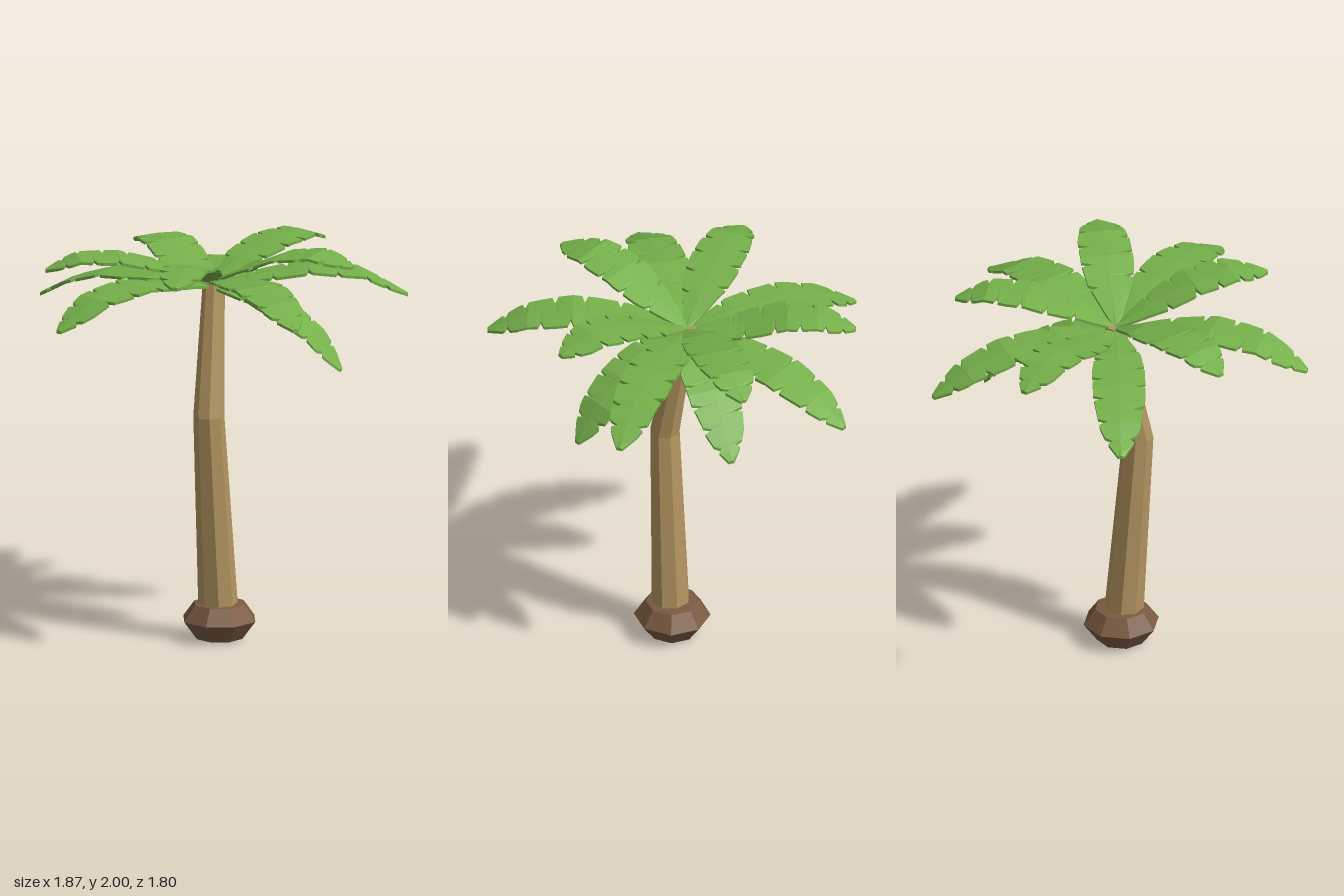
import * as THREE from 'three';

const mat = (color) => new THREE.MeshStandardMaterial({ color, flatShading: true });

// Piecewise-linear lookup in a list of [t, value]
function lerpTable(table, t) {
  for (let i = 1; i < table.length; i++) {
    const [t0, v0] = table[i - 1], [t1, v1] = table[i];
    if (t <= t1) return v0 + (v1 - v0) * (t - t0) / (t1 - t0);
  }
  return table[table.length - 1][1];
}

// Skin a list of closed rings (counterclockwise about the travel direction) and cap both ends
function loft(rings) {
  const n = rings[0].length, index = [];
  for (let i = 0; i < rings.length - 1; i++) {
    for (let j = 0; j < n; j++) {
      const a = i * n + j, b = i * n + (j + 1) % n;
      index.push(a, b, b + n, a, b + n, a + n);
    }
  }
  const last = (rings.length - 1) * n;
  for (let j = 1; j < n - 1; j++) {
    index.push(0, j + 1, j, last, last + j, last + j + 1);
  }
  const geo = new THREE.BufferGeometry();
  geo.setAttribute('position', new THREE.Float32BufferAttribute(rings.flat(2), 3));
  geo.setIndex(index);
  geo.computeVertexNormals();
  return geo;
}

// Half width of a frond along its length
const PROFILE = [[0, 0.015], [0.12, 0.055], [0.3, 0.112], [0.45, 0.13], [0.66, 0.128],
  [0.85, 0.1], [0.93, 0.065], [1, 0.015]];
const NOTCHES = { 1: [0.25, 0.42, 0.58, 0.73, 0.9], '-1': [0.33, 0.51, 0.66, 0.81, 0.91] };
const NOTCH_HALF = 0.016, NOTCH_DEPTH = 0.42, THICK = 0.014;

// Torn-edged frond running along +z; curve lists [distance, height]
function frondGeometry(curve, seed) {
  const length = curve[curve.length - 1][0];
  const shift = 0.025 * Math.sin(seed * 2.4);
  const cuts = (side) => NOTCHES[side].map((t) => t + shift);
  const width = (side, t) => {
    let w = lerpTable(PROFILE, t);
    for (const c of cuts(side)) w *= 1 - NOTCH_DEPTH * Math.max(0, 1 - Math.abs(t - c) / NOTCH_HALF);
    return w;
  };
  const marks = [...PROFILE.map((p) => p[0]), ...curve.map((p) => p[0] / length)];
  for (const side of [1, -1]) {
    for (const c of cuts(side)) marks.push(c - NOTCH_HALF, c, c + NOTCH_HALF);
  }
  const stations = [...new Set(marks.map((t) => +t.toFixed(4)))].sort((a, b) => a - b);
  return loft(stations.map((t) => {
    const z = t * length, y = lerpTable(curve, z);
    const r = width(1, t), l = -width(-1, t);
    return [[r, y - THICK, z], [r, y, z], [0, y + 0.005, z], [l, y, z], [l, y - THICK, z]];
  }));
}

// Frond arcs as [fraction of reach, height]
const ARCS = {
  front: [[0, 1.79], [0.25, 1.85], [0.57, 1.887], [0.8, 1.855], [1, 1.77]],
  back: [[0, 1.77], [0.3, 1.81], [0.6, 1.882], [0.78, 1.875], [1, 1.81]],
  wide: [[0, 1.77], [0.2, 1.81], [0.5, 1.852], [0.76, 1.82], [1, 1.7]],
  side: [[0, 1.78], [0.25, 1.87], [0.55, 1.925], [0.8, 1.93], [1, 1.87]],
  raised: [[0, 1.79], [0.22, 1.87], [0.5, 1.965], [0.75, 1.995], [1, 1.95]],
  drooped: [[0, 1.77], [0.3, 1.79], [0.6, 1.77], [0.82, 1.7], [1, 1.6]],
  hanging: [[0, 1.77], [0.35, 1.745], [0.6, 1.67], [0.8, 1.58], [1, 1.42]],
};

// Tip position on the ground plane and the arc each frond follows
const FRONDS = [
  [0.02, 0.9, 'front'], [0.02, -0.9, 'back'],
  [0.93, 0.23, 'wide'], [-0.93, 0.19, 'wide'],
  [0.75, -0.37, 'side'], [-0.76, -0.33, 'side'],
  [0.5, 0.53, 'raised'], [-0.47, 0.55, 'raised'],
  [0.57, -0.86, 'drooped'], [-0.53, -0.88, 'drooped'],
  [0.47, 0.45, 'hanging'], [0.62, -0.31, 'hanging'],
];

export function createModel() {
  const model = new THREE.Group();
  const add = (name, geo, material, parent = model) => {
    const mesh = new THREE.Mesh(geo, material);
    mesh.name = name;
    parent.add(mesh);
    return mesh;
  };

  // Faceted root ball
  const ball = [[0, 0], [0.12, 0.008], [0.188, 0.1], [0.13, 0.18], [0, 0.195]];
  add('rootBall', new THREE.LatheGeometry(ball.map(([r, y]) => new THREE.Vector2(r, y)), 8),
    mat(0x7a5a42)).position.set(0.024, 0, -0.003);

  // Kinked, tapering trunk: centre x, y, z and radius
  const trunk = [[0.016, 0.12, 0.005, 0.098], [-0.05, 1.14, 0.035, 0.076], [0.024, 1.79, -0.068, 0.054]];
  add('trunk', loft(trunk.map(([x, y, z, r]) => Array.from({ length: 8 }, (_, k) => {
    const a = (k + 0.5) * Math.PI / 4;
    return [x + r * Math.sin(a), y, z + r * Math.cos(a)];
  }))), mat(0xb39560));

  // Crown of fronds around the trunk top
  const crown = new THREE.Group();
  crown.name = 'crown';
  crown.position.set(0.01, 0, -0.07);
  model.add(crown);
  const green = mat(0x75b04a);
  FRONDS.forEach(([x, z, arc], i) => {
    const dx = x - crown.position.x, dz = z - crown.position.z;
    const reach = Math.hypot(dx, dz);
    const curve = ARCS[arc].map(([t, y]) => [t * reach, y]);
    add(arc + 'Frond', frondGeometry(curve, i), green, crown).rotation.y = Math.atan2(dx, dz);
  });

  return model;
}
